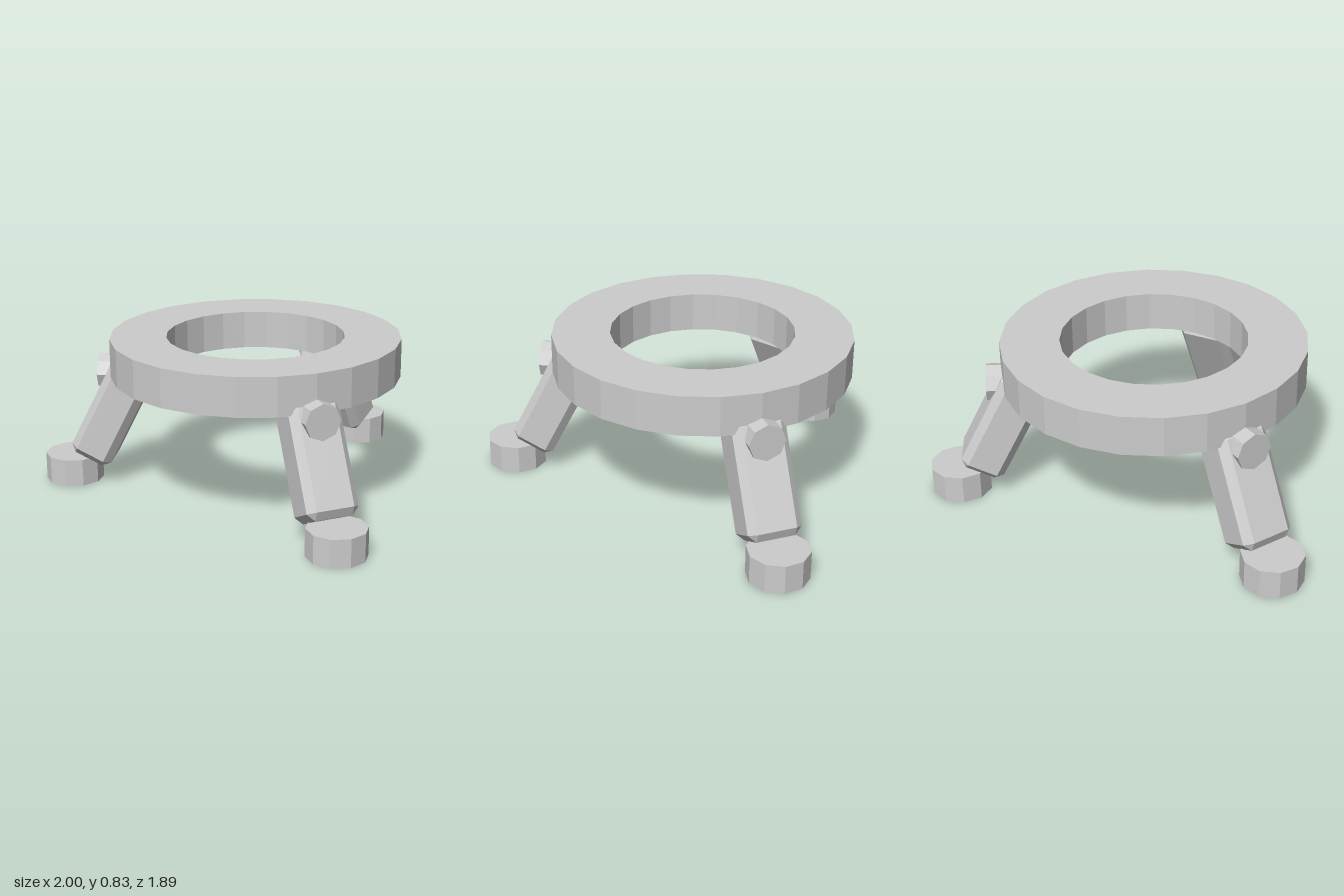
import * as THREE from 'three';
import { ConvexGeometry } from 'three/addons/geometries/ConvexGeometry.js';

const RING_Z = -0.2;

// Give a geometry hard facets
function faceted(geometry) {
  const g = geometry.toNonIndexed();
  g.computeVertexNormals();
  return g;
}

// Box with every edge cut by a flat chamfer
function chamferedBox(w, h, d, c) {
  const points = [];
  for (const sx of [-1, 1]) for (const sy of [-1, 1]) for (const sz of [-1, 1]) {
    for (let axis = 0; axis < 3; axis++) {
      const p = [w / 2 - c, h / 2 - c, d / 2 - c];
      p[axis] += c;
      points.push(new THREE.Vector3(sx * p[0], sy * p[1], sz * p[2]));
    }
  }
  return new ConvexGeometry(points);
}

export function createModel() {
  const model = new THREE.Group();
  model.name = 'ringStand';
  const grey = new THREE.MeshStandardMaterial({ color: 0xcccccc });
  grey.name = 'light grey';

  function addPart(parent, name, geometry, x, y, z) {
    const mesh = new THREE.Mesh(geometry, grey);
    mesh.name = name;
    mesh.position.set(x, y, z);
    parent.add(mesh);
    return mesh;
  }

  // Flat ring with a rectangular section
  const section = [[0.46, 0.63], [0.75, 0.63], [0.75, 0.83], [0.46, 0.83], [0.46, 0.63]]
    .map(([r, y]) => new THREE.Vector2(r, y));
  addPart(model, 'ring', faceted(new THREE.LatheGeometry(section, 24)), 0, 0, RING_Z);

  // Three splayed legs, one to the front and two to the back
  const legGeometry = chamferedBox(0.27, 0.57, 0.23, 0.038);
  const jointGeometry = faceted(new THREE.CylinderGeometry(0.093, 0.093, 0.25, 8).rotateX(Math.PI / 2));
  const footGeometry = faceted(new THREE.CylinderGeometry(0.152, 0.152, 0.145, 10));
  ['front', 'backLeft', 'backRight'].forEach((side, i) => {
    const angle = i * Math.PI * 2 / 3;
    const assembly = new THREE.Group();
    assembly.name = side + 'Leg';
    assembly.position.z = RING_Z;
    assembly.rotation.y = angle;
    addPart(assembly, 'leg', legGeometry, 0, 0.396, 0.756).rotation.x = -0.47;
    addPart(assembly, 'joint', jointGeometry, 0, 0.61, 0.698);
    // Feet all keep the same heading
    addPart(assembly, 'foot', footGeometry, 0, 0.0725, 0.987).rotation.y = -angle;
    model.add(assembly);
  });

  return model;
}
